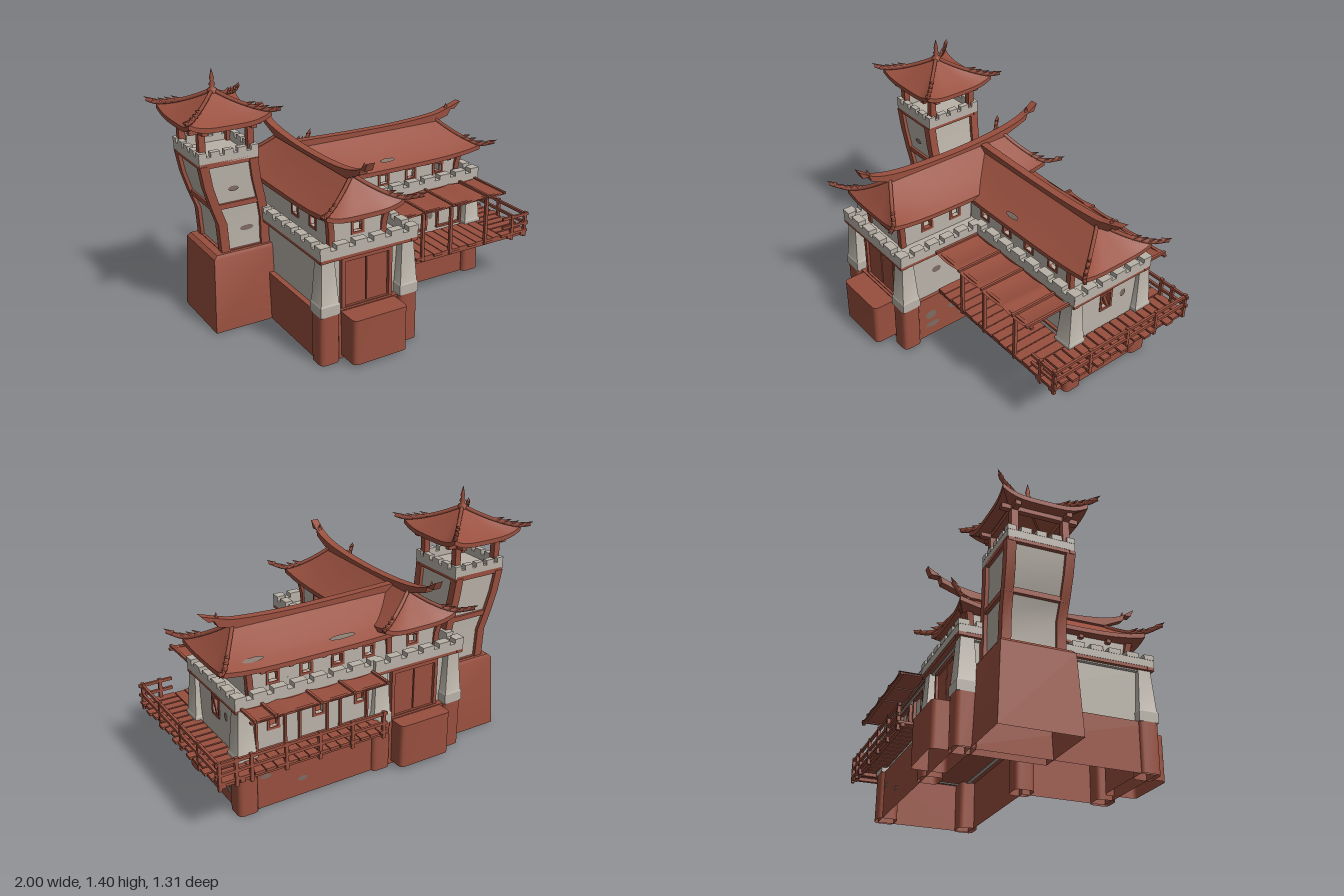
import * as THREE from 'three';
import { toCreasedNormals } from 'three/addons/utils/BufferGeometryUtils.js';

const mat = (name, color, side = THREE.FrontSide) => Object.assign(new THREE.MeshStandardMaterial({ color, side }), { name });
const red = mat('red timber', 0x984f3e);
const redThin = mat('red thin', 0x984f3e, THREE.DoubleSide);
const stone = mat('pale stone', 0xb9b2a8);
const worn = mat('worn patch', 0x7c6b62);
const V = (x, y, z) => new THREE.Vector3(x, y, z);
const lerp = THREE.MathUtils.lerp;

export function createModel() {
  const model = new THREE.Group();
  const add = (name, geo, m, x = 0, y = 0, z = 0) => {
    const mesh = new THREE.Mesh(geo, m);
    mesh.name = name;
    mesh.position.set(x, y, z);
    model.add(mesh);
    return mesh;
  };
  // Box given by its limits
  const box = (name, m, x0, x1, y0, y1, z0, z1) =>
    add(name, new THREE.BoxGeometry(x1 - x0, y1 - y0, z1 - z0), m, (x0 + x1) / 2, (y0 + y1) / 2, (z0 + z1) / 2);

  // Flat-sided shape through outlines of equal length, closed on top
  const hull = (name, m, R, bottom) => {
    const pts = [], n = R[0].length;
    const fan = (P) => { for (let j = 1; j + 1 < n; j++) pts.push(P[0], P[j], P[j + 1]); };
    for (let i = 0; i + 1 < R.length; i++) for (let j = 0; j < n; j++) {
      const k = (j + 1) % n;
      pts.push(R[i][j], R[i][k], R[i + 1][k], R[i][j], R[i + 1][k], R[i + 1][j]);
    }
    fan(R[R.length - 1]);
    if (bottom) fan([...R[0]].reverse());
    const geo = new THREE.BufferGeometry().setFromPoints(pts);
    geo.computeVertexNormals();
    return add(name, toCreasedNormals(geo, 0.5), m);
  };
  // Rectangular case, rings [y, x0, x1, z0, z1]
  const loft = (name, m, rings, bottom = true) =>
    hull(name, m, rings.map(([y, x0, x1, z0, z1]) => [V(x0, y, z1), V(x1, y, z1), V(x1, y, z0), V(x0, y, z0)]), bottom);
  // Hollow block with rounded upright corners
  const roundBlock = (name, x, z, hx, hz, r, y0, y1) => {
    const plan = [];
    [[1, 1], [-1, 1], [-1, -1], [1, -1]].forEach(([sx, sz], i) => {
      for (let k = 0; k <= 4; k++) {
        const a = (i + k / 4) * Math.PI / 2;
        plan.push([x + sx * (hx - r) + r * Math.cos(a), z - sz * (hz - r) - r * Math.sin(a)]);
      }
    });
    return hull(name, redThin, [y0, y1].map(y => plan.map(([px, pz]) => V(px, y, pz))), false);
  };

  // Upright panel with holes [centre, centreY, w, h]; alongZ panels face x
  const panel = (name, m, u0, u1, y0, y1, at, holes = [], alongZ = false, depth = 0.02) => {
    const rect = (P, a, b, c, d) => { const p = new P(); p.moveTo(a, c); p.lineTo(b, c); p.lineTo(b, d); p.lineTo(a, d); p.closePath(); return p; };
    const s = rect(THREE.Shape, u0, u1, y0, y1);
    holes.forEach(([u, y, w, h]) => s.holes.push(rect(THREE.Path, u - w / 2, u + w / 2, y - h / 2, y + h / 2)));
    const geo = new THREE.ExtrudeGeometry(s, { depth, bevelEnabled: false }).translate(0, 0, -depth / 2);
    if (alongZ) geo.rotateY(-Math.PI / 2);
    return add(name, geo, m, alongZ ? at : 0, 0, alongZ ? 0 : at);
  };
  const frame = (u, y, w, h, at, alongZ, b = 0.013) =>
    panel('windowFrame', red, u - w / 2 - b, u + w / 2 + b, y - h / 2 - b, y + h / 2 + b, at, [[u, y, w, h]], alongZ, 0.03);
  const windowWall = (name, u0, u1, y0, y1, at, holes, alongZ) => {
    panel(name, stone, u0, u1, y0, y1, at, holes, alongZ);
    holes.forEach(([u, y, w, h]) => frame(u, y, w, h, at, alongZ));
  };

  // Foundations, hollow underneath, with entrance blocks and terrace slabs
  const plan = [[0, 0.04], [0.8, 0.04], [0.8, -0.51], [-0.54, -0.51], [-0.54, 0.53], [0, 0.53]];
  hull('foundation', redThin, [0, 0.275].map(y => plan.map(([x, z]) => V(x, y, z))), false);
  for (const z of [0.565, -0.51]) roundBlock('entranceBlock', -0.265, z, 0.16, 0.095, 0.025, 0.02, 0.27);
  box('terraceCrossWing', stone, -0.53, 0.0, 0.56, 0.59, -0.5, 0.53);
  box('terraceLongWing', stone, 0.0, 0.79, 0.56, 0.59, -0.5, 0.03);

  // Lower walls
  const lowWin = [0.09, 0.34, 0.6].map(x => [x, 0.465, 0.045, 0.06]);
  panel('frontWall', stone, -0.5, -0.03, 0.27, 0.57, 0.48);
  panel('backWall', stone, -0.5, -0.03, 0.27, 0.57, -0.46);
  panel('leftWall', stone, -0.46, 0.48, 0.27, 0.57, -0.5, [], true);
  panel('innerWall', stone, 0.0, 0.48, 0.27, 0.57, -0.03, [], true);
  windowWall('longFrontWall', -0.03, 0.77, 0.27, 0.57, 0.0, lowWin);
  windowWall('longBackWall', -0.03, 0.77, 0.27, 0.57, -0.48, lowWin);
  windowWall('endWall', -0.48, 0.0, 0.27, 0.57, 0.77, [[-0.22, 0.475, 0.06, 0.09]], true);
  const slat = box('brokenShutter', red, 0.765, 0.785, 0.43, 0.52, -0.225, -0.21);
  slat.rotation.x = 0.4;
  // Tall door surrounds behind the veranda
  for (const x of [0.135, 0.375, 0.62])
    for (const z of [0.012, -0.492]) frame(x, 0.425, 0.15, 0.19, z, false, 0.012);

  // Double doors, front and back
  for (const [z, d] of [[0.49, 1], [-0.47, -1]]) {
    frame(-0.26, 0.405, 0.26, 0.25, z + d * 0.01, false, 0.02);
    for (const s of [-1, 1]) box('doorLeaf', red, -0.26 + s * 0.065 - 0.061, -0.26 + s * 0.065 + 0.061, 0.28, 0.53, z - 0.012, z + 0.012);
  }

  // Corner piers: round-cornered red foot and tapering stone shaft
  const pier = (x, z, w = 0.056) => {
    roundBlock('pierFoot', x, z, w, w, 0.026, 0, 0.275);
    const r = (y, k) => [y, x - w * k, x + w * k, z - w * k, z + w * k];
    loft('pierShaft', stone, [r(0.275, 1), r(0.33, 1), r(0.34, 0.9), r(0.58, 0.62)]);
  };
  [[-0.5, 0.5], [-0.03, 0.5], [-0.5, -0.475], [-0.03, -0.475], [0.765, 0.01], [0.765, -0.475], [-0.02, 0.03]].forEach(([x, z]) => pier(x, z));

  // Crenellated parapet along a line, with a red beam beneath
  const parapet = (x0, z0, x1, z1, n, y = 0.585, w = 0.022) => {
    const ax = x0 !== x1;
    const a = ax ? x0 : z0, b = ax ? x1 : z1;
    const seg = (nm, m, p, q, lo, hi, t) => ax ? box(nm, m, p, q, lo, hi, z0 - t, z0 + t) : box(nm, m, x0 - t, x0 + t, lo, hi, p, q);
    seg('parapet', stone, a - w, b + w, y, y + 0.042, w);
    seg('parapetBeam', red, a - w, b + w, y - 0.018, y, w * 0.9);
    const step = (b - a) / n;
    for (let i = 0; i <= n; i++) {
      const c = a + i * step, h = Math.min(0.038, step * 0.34);
      seg('merlon', stone, Math.max(c - h, a - w), Math.min(c + h, b + w), y + 0.04, y + 0.068, w * 1.08);
    }
  };
  parapet(-0.53, 0.53, 0.0, 0.53, 5);
  parapet(-0.53, -0.505, 0.0, -0.505, 5);
  parapet(-0.53, -0.505, -0.53, 0.53, 10);
  parapet(0.0, 0.04, 0.0, 0.53, 5);
  parapet(0.02, 0.02, 0.79, 0.02, 7);
  parapet(0.0, -0.485, 0.79, -0.485, 7);
  parapet(0.79, -0.485, 0.79, 0.02, 5);

  // Upper storey with open windows
  const win = (...c) => c.map(u => [u, 0.675, 0.05, 0.05]);
  const longWin = win(0.0, 0.19, 0.375, 0.565);
  windowWall('upperFront', -0.43, -0.13, 0.58, 0.765, 0.44, win(-0.28));
  windowWall('upperBack', -0.43, -0.13, 0.58, 0.765, -0.42, win(-0.28));
  windowWall('upperLeft', -0.42, 0.44, 0.58, 0.765, -0.43, win(0.28, 0.09), true);
  windowWall('upperInner', -0.02, 0.44, 0.58, 0.765, -0.13, win(0.28, 0.09), true);
  windowWall('upperLongFront', -0.13, 0.69, 0.58, 0.745, -0.04, longWin);
  windowWall('upperLongBack', -0.13, 0.69, 0.58, 0.745, -0.42, longWin);
  windowWall('upperEnd', -0.42, -0.04, 0.58, 0.745, 0.69, win(-0.22), true);
  // Leaning corner posts
  [[-0.43, 0.44, -1, 1], [-0.13, 0.44, 1, 1], [-0.43, -0.42, -1, -1], [-0.13, -0.42, 1, -1], [0.69, -0.04, 1, 1], [0.69, -0.42, 1, -1]]
    .forEach(([x, z, sx, sz]) => {
      const r = (y, o) => [y, x + sx * o - 0.016, x + sx * o + 0.016, z + sz * o - 0.016, z + sz * o + 0.016];
      loft('leaningPost', red, [r(0.58, 0), r(0.68, 0.006), r(0.75, 0.02)]);
    });
  // Eave brackets
  for (const x of [0.095, 0.28, 0.47, 0.63]) for (const z of [-0.025, -0.435])
    box('eaveBracket', red, x - 0.012, x + 0.012, 0.715, 0.74, z - 0.02, z + 0.02);
  for (const z of [0.34, 0.18]) for (const x of [-0.445, -0.115])
    box('eaveBracket', red, x - 0.02, x + 0.02, 0.73, 0.755, z - 0.012, z + 0.012);

  // Swept hipped roof: eave limits, ridge ends, heights, and which ends have hips
  const roof = (name, [x0, x1, z0, z1], ridge, yE, yR, lift, tip, hipped = [0, 1, 2, 3]) => {
    const c = [[x0, z1], [x1, z1], [x1, z0], [x0, z0]];
    const sgn = [[-1, 1], [1, 1], [1, -1], [-1, -1]];
    const levels = [[0.3, -0.03], [0, -0.025], [0, 0], [0.17, 0], [0.34, 0], [0.5, 0], [0.67, 0], [0.84, 0], [1, 0]];
    const N = 12, flare = 0.006, pts = [];
    const height = (t, k) => yE + lift * k * (1 - t) ** 2 + (yR - yE) * t ** 1.15;
    const at = (i, s, [t, dy]) => {
      const j = (i + 1) % 4, q = (2 * s - 1) ** 4, o = sgn[s < 0.5 ? i : j];
      const ex = lerp(c[i][0], c[j][0], s) + o[0] * flare * q, ez = lerp(c[i][1], c[j][1], s) + o[1] * flare * q;
      const rx = lerp(ridge[i][0], ridge[j][0], s), rz = lerp(ridge[i][1], ridge[j][1], s);
      return V(lerp(ex, rx, t), dy === -0.03 ? yE - 0.02 : height(t, q) + dy, lerp(ez, rz, t));
    };
    for (let i = 0; i < 4; i++) for (let l = 0; l + 1 < levels.length; l++) for (let n = 0; n < N; n++) {
      const a = at(i, n / N, levels[l]), b = at(i, (n + 1) / N, levels[l]);
      const d = at(i, n / N, levels[l + 1]), e = at(i, (n + 1) / N, levels[l + 1]);
      pts.push(a, b, e, a, e, d);
    }
    add(name, toCreasedNormals(new THREE.BufferGeometry().setFromPoints(pts), 0.5), redThin);
    // Hip ribs with upturned tips and hooks
    for (const i of hipped) {
      const p = [1, 0.75, 0.5, 0.25, 0].map(t => at(i, 0, [t, 0.006]));
      const end = p[4].clone();
      p.push(V(end.x + sgn[i][0] * tip, end.y + tip * 0.35, end.z + sgn[i][1] * tip));
      const curve = new THREE.CatmullRomCurve3(p);
      add('hipRib', new THREE.TubeGeometry(curve, 20, 0.011, 5), red);
      for (let k = 0; k < 5; k++) {
        const o = curve.getPointAt(0.53 + k * 0.1);
        const hook = add('ribHook', new THREE.ConeGeometry(0.015, 0.055, 4), red, o.x + sgn[i][0] * 0.012, o.y + 0.012, o.z + sgn[i][1] * 0.012);
        hook.quaternion.setFromUnitVectors(V(0, 1, 0), V(sgn[i][0], 0.6, sgn[i][1]).normalize());
      }
    }
  };
  const cf = [-0.28, 0.4], cb = [-0.28, -0.38], le = [0.67, -0.225], ls = [-0.28, -0.225], tp = [-0.73, -0.24];
  roof('crossWingRoof', [-0.5, -0.06, -0.5, 0.53], [cf, cf, cb, cb], 0.77, 0.93, 0.035, 0.07);
  roof('longWingRoof', [-0.28, 0.835, -0.455, 0.005], [ls, le, le, ls], 0.745, 0.905, 0.03, 0.06, [1, 2]);
  roof('towerRoof', [-0.95, -0.51, -0.46, -0.025], [tp, tp, tp, tp], 1.15, 1.28, 0.04, 0.036);

  // Sagging ridges with horned ends
  const ridgeShape = (top, bottom) => {
    const s = new THREE.Shape();
    s.moveTo(...top[0]);
    s.splineThru(top.slice(1).map(p => new THREE.Vector2(...p)));
    bottom.forEach(p => s.lineTo(...p));
    return new THREE.ExtrudeGeometry(s, { depth: 0.045, bevelEnabled: false, curveSegments: 24 }).translate(0, 0, -0.0225);
  };
  add('crossRidge', ridgeShape([[-0.62, 1.055], [-0.5, 0.99], [-0.3, 0.955], [0, 0.942], [0.3, 0.955], [0.48, 0.99], [0.59, 1.055]],
    [[0.57, 1.01], [0.53, 1.01], [0.52, 0.975], [0.4, 0.92], [-0.38, 0.92], [-0.54, 0.975], [-0.55, 1.01], [-0.6, 1.01]]).rotateY(-Math.PI / 2), red, -0.29);
  add('longRidge', ridgeShape([[-0.28, 0.93], [0.1, 0.92], [0.4, 0.92], [0.65, 0.935], [0.74, 0.955], [0.85, 0.99]],
    [[0.81, 0.95], [0.78, 0.95], [0.76, 0.915], [0.67, 0.89], [-0.28, 0.89]]), red, 0, 0, -0.23);
  for (const [x, y, z] of [[-0.29, 1.025, 0.53], [-0.29, 1.025, -0.56], [0.76, 0.97, -0.23]])
    add('ridgeHorn', new THREE.ConeGeometry(0.015, 0.035, 5), red, x, y, z);

  // Leaning tower
  loft('towerBase', redThin, [[0, -0.87, -0.46, -0.45, -0.03], [0.42, -0.85, -0.48, -0.43, -0.05], [0.44, -0.83, -0.49, -0.42, -0.06]], false);
  const rows = [[0.43, -0.79, -0.52, 0.16], [0.6, -0.8, -0.52, 0.16], [0.7, -0.835, -0.535, 0.165], [0.82, -0.87, -0.56, 0.17], [0.94, -0.89, -0.575, 0.175]];
  loft('towerWall', stone, rows.map(([y, a, b, h]) => [y, a + 0.015, b - 0.015, -0.225 - h, -0.255 + h]));
  for (const sx of [0, 1]) for (const sz of [-1, 1])
    loft('towerCornerBeam', red, rows.map(([y, a, b, h]) => {
      const x = sx ? b - 0.02 : a + 0.02, z = -0.24 + sz * (h - 0.02);
      return [y, x - 0.024, x + 0.024, z - 0.024, z + 0.024];
    }));
  for (const i of [0, 2, 4]) {
    const [y, a, b, h] = rows[i];
    box('towerBand', red, a, b, y - 0.014, y + 0.014, -0.24 - h, -0.24 + h);
  }
  box('towerFloor', stone, -0.89, -0.57, 0.93, 0.955, -0.41, -0.07);
  for (const z of [-0.4, -0.08]) parapet(-0.88, z, -0.58, z, 4, 0.945, 0.015);
  for (const x of [-0.88, -0.58]) parapet(x, -0.4, x, -0.08, 4, 0.945, 0.015);
  for (const x of [-0.865, -0.595]) {
    for (const z of [-0.375, -0.105]) box('towerPost', red, x - 0.018, x + 0.018, 0.95, 1.15, z - 0.018, z + 0.018);
    box('towerTopBeam', red, x - 0.015, x + 0.015, 1.11, 1.135, -0.44, -0.04);
  }
  for (const z of [-0.375, -0.105]) box('towerTopBeam', red, -0.93, -0.53, 1.11, 1.135, z - 0.015, z + 0.015);
  add('finial', new THREE.LatheGeometry([[0.025, 0], [0.025, 0.02], [0.01, 0.03], [0.018, 0.045], [0.008, 0.06], [0.013, 0.075], [0, 0.13]]
    .map(p => new THREE.Vector2(...p)), 10), red, -0.73, 1.27, -0.24);

  // Veranda awnings: sagging cover and battens, posts on the front one
  for (const [z0, z1, edge, posts] of [[0.05, 0.33, 0.305, [0.23, 0.42, 0.67]], [-0.65, -0.51, -0.635, []]]) {
    const geo = new THREE.PlaneGeometry(0.77, z1 - z0, 32, 1).rotateX(-Math.PI / 2);
    const p = geo.attributes.position;
    for (let i = 0; i < p.count; i++) p.setY(i, -0.012 * Math.abs(Math.sin((p.getX(i) + 0.385) / 0.77 * Math.PI * 4)));
    geo.computeVertexNormals();
    add('awning', geo, redThin, 0.4, 0.592, (z0 + z1) / 2);
    box('awningBeam', red, 0.01, 0.8, 0.575, 0.587, edge - 0.009, edge + 0.009);
    for (const x of [0.03, 0.23, 0.42, 0.67, 0.78]) box('awningBatten', red, x - 0.007, x + 0.007, 0.584, 0.598, z0, z1);
    for (const x of posts) box('awningPost', red, x - 0.009, x + 0.009, 0.29, 0.58, edge - 0.009, edge + 0.009);
  }

  // Plank deck around the long wing
  for (let i = 0; i < 17; i++) {
    const z = -0.64 + i * 0.0565;
    box('endPlank', red, 0.79, 0.975 + 0.01 * (i % 3), 0.3, 0.315, z, z + 0.047);
  }
  for (let i = 0; i < 13; i++) {
    const x = 0.01 + i * 0.06;
    box('frontPlank', red, x, x + 0.055, 0.3, 0.315, 0.04, 0.305 + 0.006 * (i % 2));
    box('backPlank', red, x, x + 0.055, 0.3, 0.315, -0.645, -0.5);
  }
  for (const x of [0.85, 0.95]) box('deckJoist', red, x - 0.012, x + 0.012, 0.28, 0.3, -0.64, 0.31);
  for (const z of [0.16, 0.29, -0.62]) box('deckJoist', red, 0.0, 0.97, 0.28, 0.3, z - 0.01, z + 0.01);

  // Railings
  for (const y of [0.355, 0.41]) {
    box('endRail', red, 0.962, 0.976, y - 0.008, y + 0.008, -0.64, 0.31);
    box('frontRail', red, 0.8, 0.99, y - 0.008, y + 0.008, 0.295, 0.309);
    box('backRail', red, 0.02, 0.99, y - 0.008, y + 0.008, -0.642, -0.628);
  }
  const railPost = (x, z) => box('railPost', red, x - 0.009, x + 0.009, 0.27, 0.425, z - 0.009, z + 0.009);
  [0.3, 0.06, -0.2, -0.41, -0.635].forEach(z => railPost(0.969, z));
  [0.04, 0.23, 0.42, 0.61, 0.8, 0.88].forEach(x => railPost(x, -0.635));
  railPost(0.87, 0.302);

  // Worn patches [x, y, z, half width, half height, turn, tilt]
  const R = Math.PI / 2;
  [[0.004, 0.15, 0.36, 0.036, 0.028, R], [0.004, 0.15, 0.19, 0.05, 0.024, R], [0.004, 0.08, 0.35, 0.045, 0.02, R], [0.004, 0.07, 0.14, 0.03, 0.016, R],
    [0.804, 0.13, -0.15, 0.035, 0.015, R], [0.804, 0.16, -0.33, 0.03, 0.022, R], [0.804, 0.075, -0.18, 0.045, 0.02, R], [0.804, 0.08, -0.38, 0.04, 0.02, R],
    [0.24, 0.17, 0.044, 0.02, 0.014, 0], [0.7, 0.17, 0.044, 0.02, 0.02, 0], [0.45, 0.1, -0.514, 0.03, 0.014, 2 * R], [0.66, 0.18, -0.514, 0.03, 0.014, 2 * R],
    [-0.71, 0.79, -0.08, 0.03, 0.015, 0], [-0.64, 0.55, -0.09, 0.04, 0.015, 0],
    [0.265, 0.46, 0.014, 0.022, 0.016, 0], [0.49, 0.4, 0.014, 0.018, 0.022, 0], [0.784, 0.47, -0.34, 0.02, 0.025, R], [-0.016, 0.44, 0.3, 0.03, 0.02, R],
    [0.15, 0.782, -0.412, 0.08, 0.014, 2 * R, 0.96], [0.66, 0.782, -0.412, 0.06, 0.014, 2 * R, 0.96], [0.22, 0.782, -0.04, 0.05, 0.014, 0, -0.96]]
    .forEach(([x, y, z, a, b, turn, tilt = 0]) => {
      const m = add('wornPatch', new THREE.CircleGeometry(1, 10), worn, x, y, z);
      m.scale.set(a, b, 1);
      m.rotation.set(tilt, turn, 0);
    });
  return model;
}
